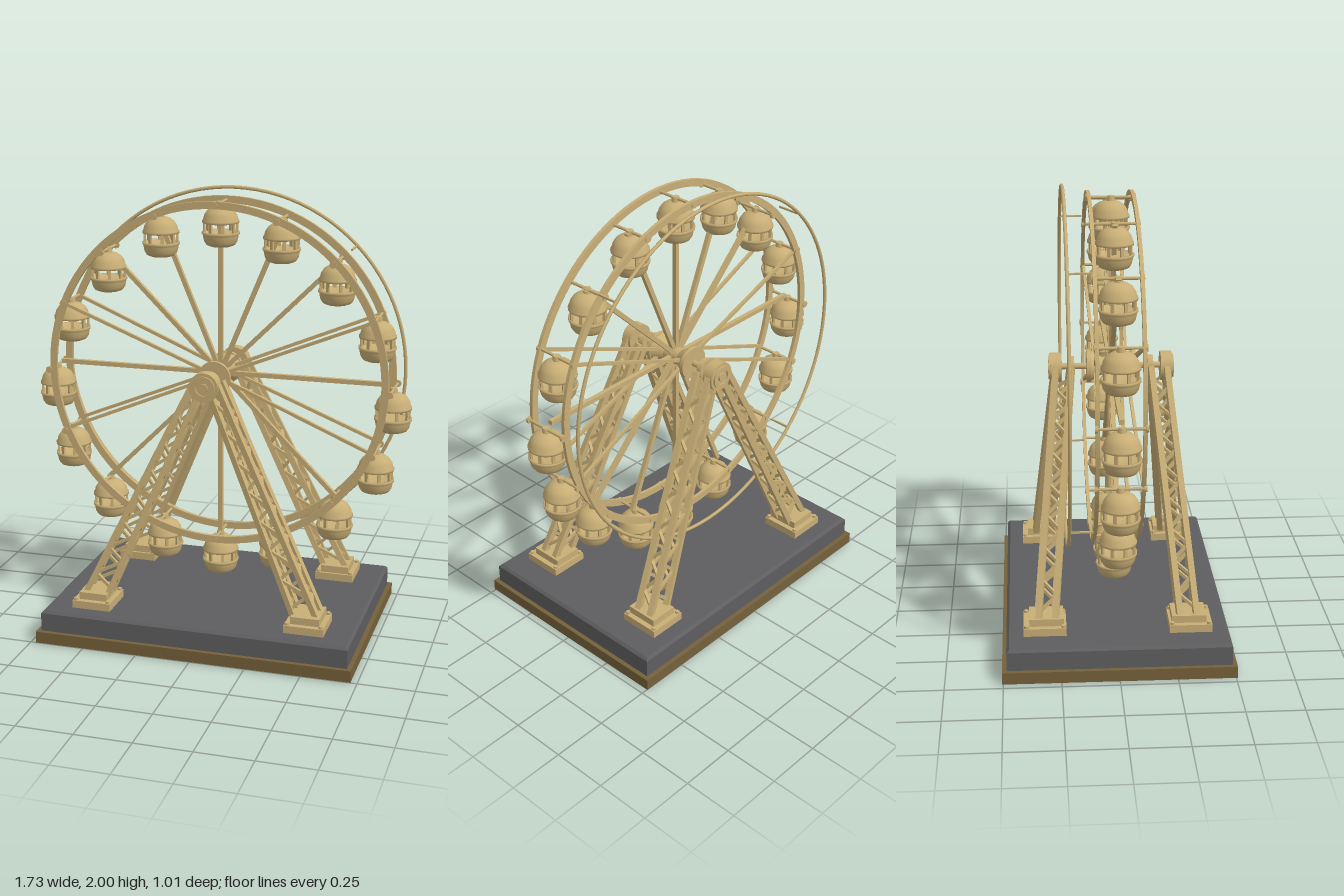
import * as THREE from 'three';

const tan = new THREE.MeshStandardMaterial({ color: 0xc8ae76 });
tan.name = 'warm tan';
const grey = new THREE.MeshStandardMaterial({ color: 0x5e5e60 });
grey.name = 'dark grey';
const brown = new THREE.MeshStandardMaterial({ color: 0x75613a });
brown.name = 'brown';

const HUB = 1.192;
const V = (x, y, z) => new THREE.Vector3(x, y, z);

function add(parent, name, geo, mat = tan, x = 0, y = 0, z = 0) {
  const m = new THREE.Mesh(geo, mat);
  m.name = name;
  m.position.set(x, y, z);
  parent.add(m);
  return m;
}

// Square bar between two points
function bar(parent, name, a, b, w, d = w) {
  const m = add(parent, name, new THREE.BoxGeometry(w, d, a.distanceTo(b)));
  m.position.copy(a).lerp(b, 0.5);
  m.lookAt(b);
  return m;
}

// Cylinder along z
function disc(parent, name, r, depth, y, z, r2 = r, x = 0, sides = 24) {
  const geo = new THREE.CylinderGeometry(r2, r, depth, sides).rotateX(Math.PI / 2);
  return add(parent, name, geo, tan, x, y, z);
}

// Flat ring with a rectangular section, centred on z
function flatRing(outer, inner, depth) {
  const s = new THREE.Shape().absarc(0, 0, outer, 0, Math.PI * 2);
  s.holes.push(new THREE.Path().absarc(0, 0, inner, 0, Math.PI * 2, true));
  return new THREE.ExtrudeGeometry(s, { depth, bevelEnabled: false, curveSegments: 48 })
    .translate(0, 0, -depth / 2);
}

// Slab with a chamfered top edge
function chamferSlab(w, h, d, c) {
  const g = new THREE.BoxGeometry(w, h, d, 1, 2, 1);
  const p = g.attributes.position;
  for (let i = 0; i < p.count; i++) {
    if (Math.abs(p.getY(i)) < 1e-6) p.setY(i, h / 2 - c);
    else if (p.getY(i) > 0) {
      p.setX(i, p.getX(i) * (1 - 2 * c / w));
      p.setZ(i, p.getZ(i) * (1 - 2 * c / d));
    }
  }
  const flat = g.toNonIndexed();
  flat.computeVertexNormals();
  return flat;
}

const lathe = (pts) => {
  const g = new THREE.LatheGeometry(pts.map(([r, y]) => new THREE.Vector2(r, y)), 24);
  return g;
};
const bodyGeo = lathe([[0, -0.1], [0.045, -0.1], [0.063, -0.093], [0.073, -0.078], [0.078, -0.055],
  [0.079, -0.046], [0.083, -0.046], [0.083, -0.036], [0.074, -0.036], [0.066, -0.05], [0, -0.052]]);
const roofGeo = lathe([[0, 0.005], [0.074, 0.002], [0.082, 0.004], [0.082, 0.013], [0.077, 0.018],
  [0.073, 0.036], [0.06, 0.056], [0.04, 0.07], [0.018, 0.076], [0, 0.077]]);
const knobGeo = new THREE.CylinderGeometry(0.016, 0.02, 0.026, 8);
const postGeo = new THREE.BoxGeometry(0.014, 0.05, 0.01);

function makeGondola(x, y) {
  const g = new THREE.Group();
  g.name = 'gondola';
  g.position.set(x, y, 0);
  add(g, 'gondolaBody', bodyGeo);
  add(g, 'gondolaRoof', roofGeo);
  add(g, 'gondolaKnob', knobGeo, tan, 0, 0.084, 0);
  for (let i = 0; i < 8; i++) {
    const a = (i + 0.5) * Math.PI / 4;
    add(g, 'windowPost', postGeo, tan, Math.sin(a) * 0.072, -0.016, Math.cos(a) * 0.072).rotation.y = a;
  }
  // Hanging axle with a bolt head on each rim
  disc(g, 'gondolaAxle', 0.007, 0.2, 0.09, 0, 0.007, 0, 8);
  for (const s of [-1, 1]) disc(g, 'axleBolt', 0.016, 0.012, 0.09, s * 0.102, 0.016, 0, 8);
  return g;
}

function makeWheel() {
  const w = new THREE.Group();
  w.name = 'wheel';
  for (const s of [-1, 1]) {
    add(w, 'rim', flatRing(0.778, 0.746, 0.016), tan, 0, HUB, s * 0.096);
    disc(w, 'hubFlange', 0.074, 0.018, HUB, s * 0.1);
    const cone = disc(w, 'hubCone', 0.07, 0.06, HUB, s * 0.062, 0.035);
    if (s > 0) cone.rotation.y = Math.PI;
  }
  disc(w, 'hubDrum', 0.04, 0.2, HUB, 0);
  disc(w, 'axle', 0.014, 0.5, HUB, 0, 0.014, 0, 12);

  // Spokes: the pairs nearest the horizontal are doubled out to both rims
  for (let i = 0; i < 16; i++) {
    const a = i * Math.PI / 8, c = Math.cos(a), s = Math.sin(a);
    const doubled = [1, 7, 9, 15].includes(i);
    for (const z of doubled ? [-1, 1] : [0])
      bar(w, 'spoke', V(c * 0.03, HUB + s * 0.03, z * 0.07),
        V(c * 0.76, HUB + s * 0.76, z * 0.092), doubled ? 0.014 : 0.02);
  }

  // Gondolas, half of them mirrored
  const spots = [[0, 1.862], [0.275, 1.804], [0.524, 1.634], [0.706, 1.395], [0.783, 1.082],
    [0.714, 0.796], [0.534, 0.562], [0.269, 0.393], [0, 0.342]];
  for (const [x, y] of spots) {
    w.add(makeGondola(x, y));
    if (x > 0) w.add(makeGondola(-x, y));
  }

  // Thin ring behind the wheel and its struts
  add(w, 'rearRing', new THREE.TorusGeometry(0.8, 0.008, 8, 96), tan, 0, HUB, -0.208);
  for (let i = 0; i < 4; i++) {
    const a = Math.PI / 4 + i * Math.PI / 2;
    const x = Math.cos(a) * 0.795, y = HUB + Math.sin(a) * 0.795;
    bar(w, 'ringStrut', V(x, y, -0.208), V(x, y, -0.105), 0.008);
  }
  return w;
}

// Lattice leg on one side (sx) and end (sz)
function makeLeg(sx, sz) {
  const g = new THREE.Group();
  g.name = 'leg';
  const chords = [
    [V(0.435, 0.2, 0.272), V(0.008, 1.2, 0.176)],
    [V(0.54, 0.2, 0.272), V(0.055, 1.2, 0.176)],
    [V(0.54, 0.2, 0.345), V(0.055, 1.2, 0.246)],
    [V(0.435, 0.2, 0.345), V(0.008, 1.2, 0.246)],
  ];
  for (const pair of chords) for (const p of pair) { p.x *= sx; p.z *= sz; }
  const at = (k, t) => chords[k][0].clone().lerp(chords[k][1], t);
  chords.forEach(([a, b]) => bar(g, 'legChord', a, b, 0.027, 0.025));
  // Zigzag bracing on the four faces
  const bays = 14;
  for (let f = 0; f < 4; f++) {
    const n = (f + 1) % 4;
    for (let i = 0; i < bays; i++) {
      const t0 = 0.04 + i / bays * 0.88, t1 = 0.04 + (i + 1) / bays * 0.88;
      const [p, q] = i % 2 ? [f, n] : [n, f];
      bar(g, 'legBrace', at(p, t0), at(q, t1), 0.013);
    }
  }
  // Stepped foot
  const x = sx * 0.49, z = sz * 0.317;
  add(g, 'footPlate', new THREE.BoxGeometry(0.178, 0.036, 0.186), tan, x, 0.169, z);
  add(g, 'footBlock', new THREE.BoxGeometry(0.13, 0.034, 0.15), tan, x, 0.203, z - sz * 0.007);
  for (const i of [-1, 1]) for (const j of [-1, 1])
    add(g, 'footBolt', new THREE.CylinderGeometry(0.01, 0.01, 0.012, 8), tan,
      x + i * 0.076, 0.191, z + j * 0.08);
  return g;
}

export function createModel() {
  const model = new THREE.Group();
  model.name = 'ferrisWheel';

  // Two-step base
  add(model, 'baseBottom', new THREE.BoxGeometry(1.42, 0.004, 0.99), grey, 0, 0.002, 0);
  add(model, 'basePlinth', new THREE.BoxGeometry(1.444, 0.053, 1.01), brown, 0, 0.0295, 0);
  add(model, 'baseSlab', chamferSlab(1.404, 0.097, 0.97, 0.012), grey, 0, 0.1035, 0);

  for (const sz of [-1, 1]) {
    for (const sx of [-1, 1]) model.add(makeLeg(sx, sz));
    // Bearing at the top of each frame
    disc(model, 'bearingPlate', 0.045, 0.024, HUB, sz * 0.176);
    disc(model, 'bearing', 0.066, 0.05, HUB - 0.004, sz * 0.246);
    add(model, 'bearingRing', flatRing(0.052, 0.034, 0.01), tan, 0, HUB - 0.004, sz * 0.274);
    disc(model, 'bearingCap', 0.02, 0.012, HUB - 0.004, sz * 0.274);
  }
  model.add(makeWheel());
  return model;
}
